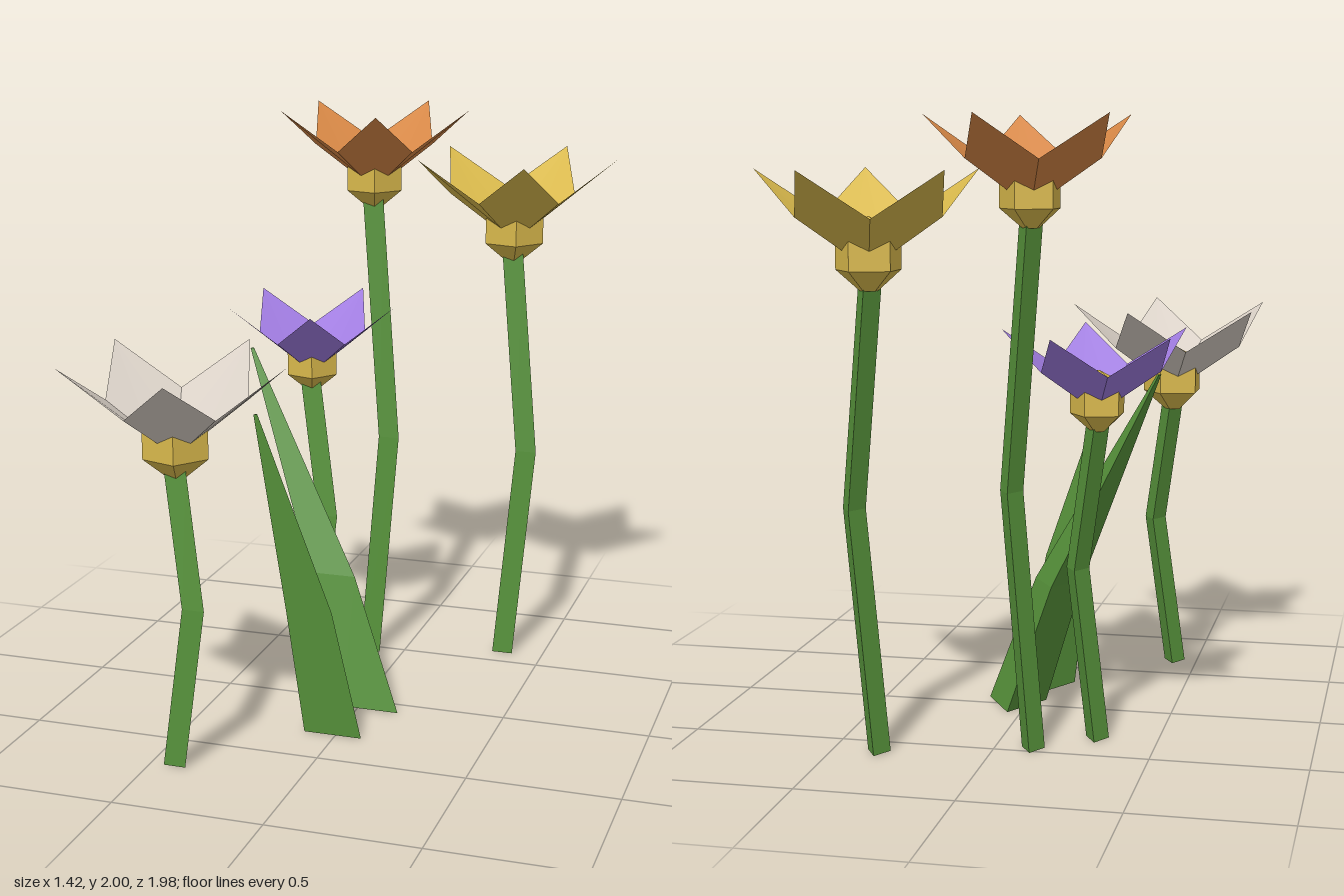
import * as THREE from 'three';

const mat = (name, color, side = THREE.FrontSide) =>
  Object.assign(new THREE.MeshStandardMaterial({ color, side }), { name });

// Faceted prism swept through rings of [x, y, z, radius], listed bottom to top
function loft(rings, sides, start) {
  const n = rings.length - 1;
  const g = new THREE.CylinderGeometry(1, 1, 1, sides, n, false, start);
  const p = g.attributes.position;
  for (let i = 0; i < p.count; i++) {
    const [x, y, z, r] = rings[Math.round((p.getY(i) + 0.5) * n)];
    p.setXYZ(i, x + p.getX(i) * r, y, z + p.getZ(i) * r);
  }
  const flat = g.toNonIndexed();
  flat.computeVertexNormals();
  return flat;
}

// One upturned pointed petal aimed along +x, with its tip at y = 0
function petalGeometry() {
  const at = (r, deg, y) => {
    const a = THREE.MathUtils.degToRad(deg);
    return [r * Math.cos(a), y, r * Math.sin(a)];
  };
  const tip = at(0.37, 0, 0);
  const v1 = at(0.236, -36, -0.145), v2 = at(0.236, 36, -0.145);
  const b1 = at(0.085, -36, -0.25), b2 = at(0.085, 36, -0.25);
  const g = new THREE.BufferGeometry();
  const pts = [tip, v1, b1, tip, b1, b2, tip, b2, v2].flat();
  g.setAttribute('position', new THREE.Float32BufferAttribute(pts, 3));
  g.computeVertexNormals();
  return g;
}

export function createModel() {
  const group = new THREE.Group();
  const green = mat('leaf green', 0x57933b);
  const gold = mat('gold', 0xd9b94c);
  const petalGeo = petalGeometry();

  const add = (parent, name, geo, material) => {
    const m = new THREE.Mesh(geo, material);
    m.name = name;
    parent.add(m);
    return m;
  };

  // Five-sided flower centre with a domed top and tapered base
  const centreGeo = loft([
    [0, -0.375, 0, 0.03],
    [0, -0.31, 0, 0.108],
    [0, -0.2, 0, 0.108],
    [0, -0.145, 0, 0.002],
  ], 5, Math.PI / 2);

  // Blossoms: centre x/z, petal tip height, scale; stem: base, bend
  const flowers = [
    { name: 'white', color: 0xd8cfc5, at: [-0.41, 1.33, 0.635], s: 1, base: [-0.417, 0.677], bend: [-0.34, 0.54, 0.677] },
    { name: 'purple', color: 0x9f7bdf, at: [-0.31, 1.33, -0.367], s: 0.84, base: [-0.302, -0.325], bend: [-0.235, 0.56, -0.325] },
    { name: 'orange', color: 0xd68745, at: [-0.125, 2.0, -0.515], s: 0.92, base: [-0.12, -0.474], bend: [-0.05, 0.83, -0.474] },
    { name: 'yellow', color: 0xd9b94c, at: [0.35, 1.835, -0.65], s: 0.985, base: [0.352, -0.608], bend: [0.425, 0.78, -0.608] },
  ];

  for (const f of flowers) {
    const petalMat = mat(f.name + ' petal', f.color, THREE.DoubleSide);
    const flower = new THREE.Group();
    flower.name = f.name + 'Flower';
    group.add(flower);

    const blossom = new THREE.Group();
    blossom.name = 'blossom';
    blossom.position.set(...f.at);
    blossom.scale.setScalar(f.s);
    flower.add(blossom);
    add(blossom, 'flowerCentre', centreGeo, gold);
    for (let i = 0; i < 5; i++) {
      add(blossom, 'petal', petalGeo, petalMat).rotation.y = (i * Math.PI * 2) / 5;
    }

    // Bent triangular stem
    const [x, y, z] = f.at;
    const r = 0.043;
    add(flower, 'stem', loft([
      [f.base[0], 0, f.base[1], r],
      [...f.bend, r],
      [x + 0.005, y - 0.34 * f.s, z + 0.008, r],
    ], 3, Math.PI), green);
  }

  // Tapering triangular leaves
  const leaves = [
    [[-0.01, 0, 0.255, 0.115], [-0.075, 0.45, 0.313, 0.092], [-0.222, 1.12, 0.43, 0.008]],
    [[0.045, 0, 0.015, 0.115], [-0.115, 0.45, -0.05, 0.094], [-0.48, 1.18, -0.222, 0.008]],
  ];
  for (const rings of leaves) add(group, 'leaf', loft(rings, 3, Math.PI), green);

  return group;
}
